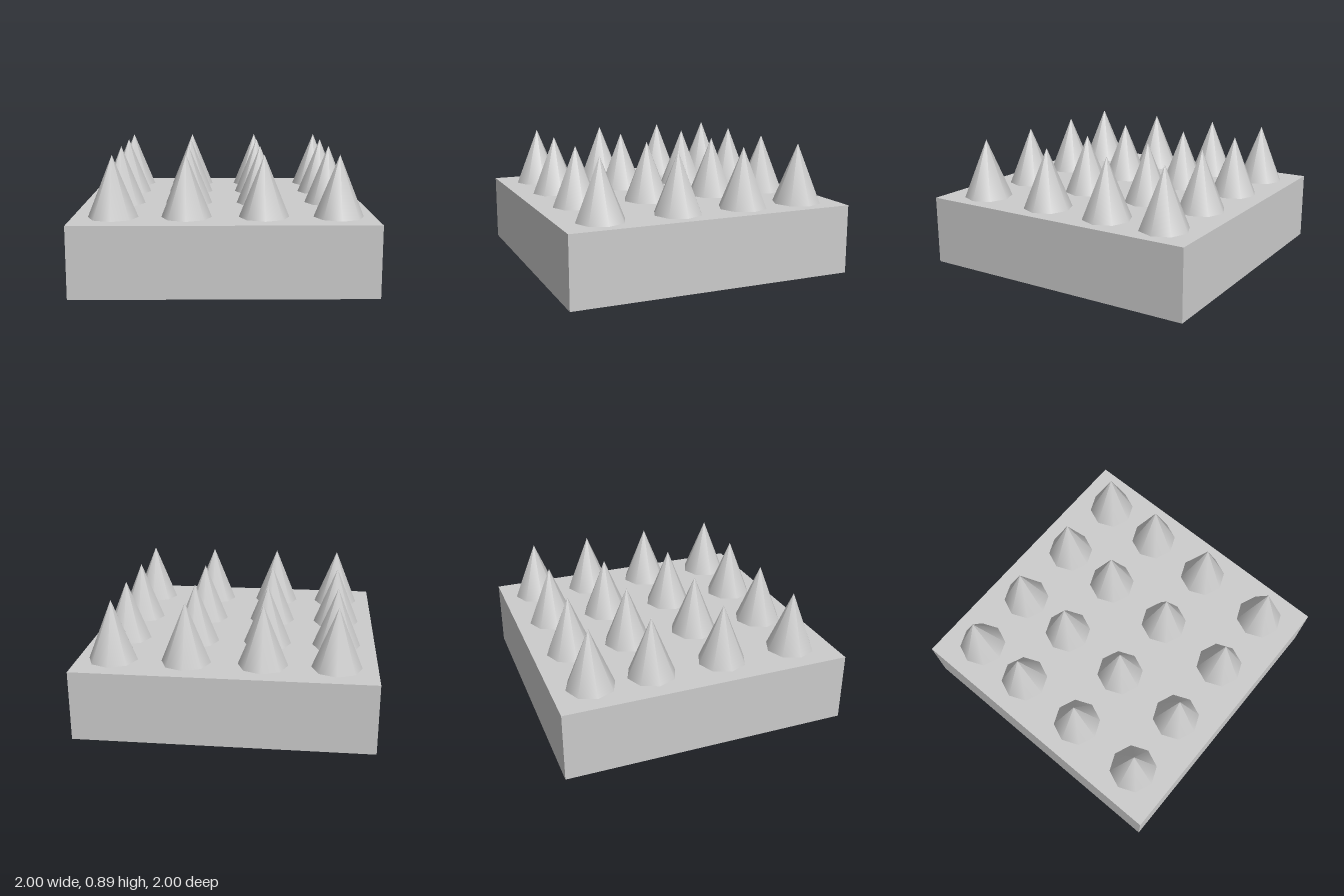
import * as THREE from 'three';

export function createModel() {
  const group = new THREE.Group();
  const material = new THREE.MeshStandardMaterial({ color: 0xcccccc });
  const baseHeight = 0.48;
  const spikeHeight = 0.412;

  // Square slab
  const base = new THREE.Mesh(new THREE.BoxGeometry(2, baseHeight, 2), material);
  base.name = 'base';
  base.position.y = baseHeight / 2;
  group.add(base);

  // Grid of eight-sided, smooth-shaded spikes, one column at a time
  const spikeGeometry = new THREE.ConeGeometry(0.167, spikeHeight, 8);
  const rows = [-0.735, -0.317, 0.192, 0.715];
  const columns = [
    { x: -0.73, rows },
    { x: -0.246, rows },
    { x: 0.266, rows },
    { x: 0.76, rows: [-0.733, -0.305, 0.178, 0.715] },
  ];
  const spikes = new THREE.Group();
  spikes.name = 'spikes';
  for (const column of columns) {
    for (const z of column.rows) {
      const spike = new THREE.Mesh(spikeGeometry, material);
      spike.name = 'spike';
      spike.position.set(column.x, baseHeight + spikeHeight / 2, z);
      spikes.add(spike);
    }
  }
  group.add(spikes);

  return group;
}
